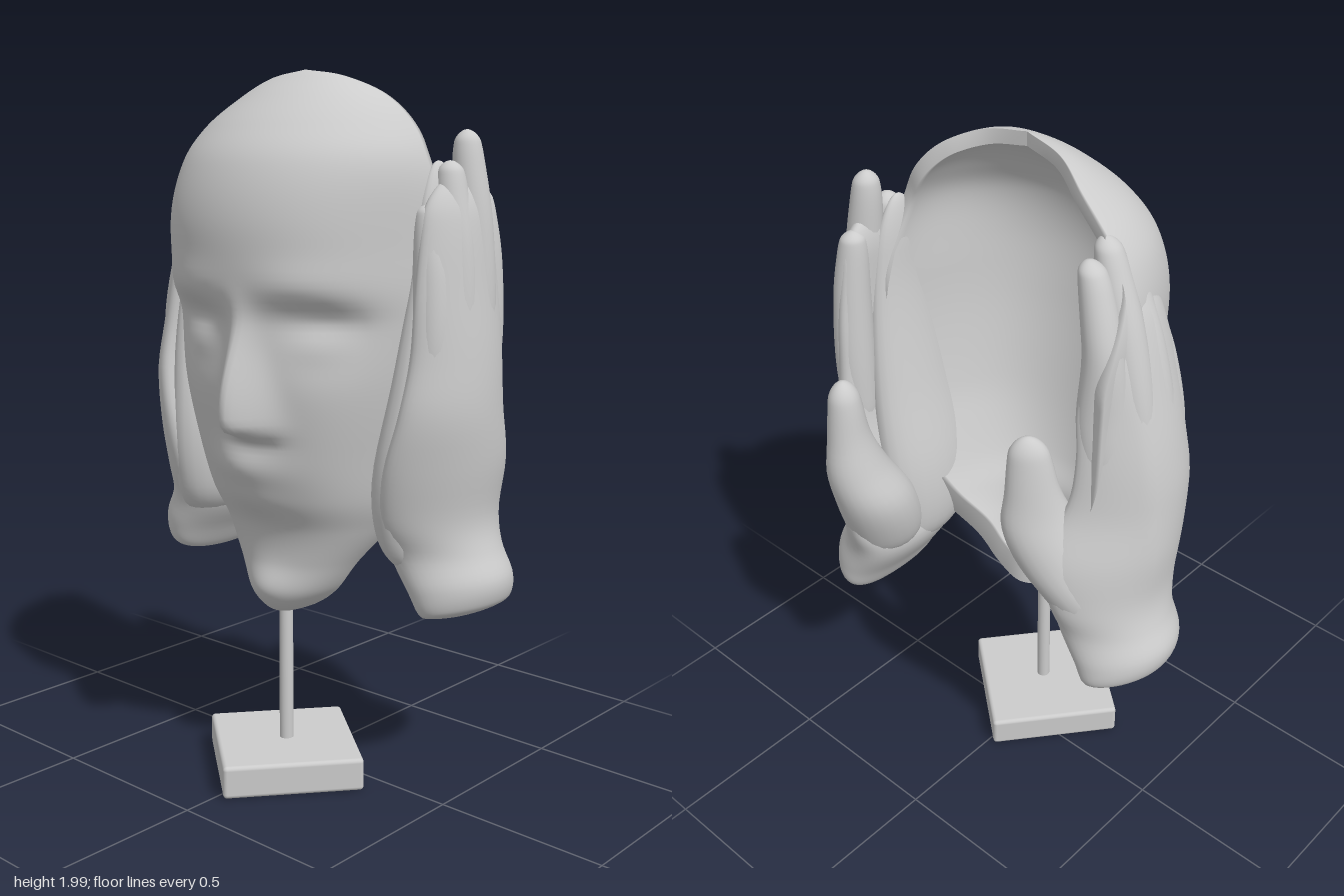
import * as THREE from 'three';
import { RoundedBoxGeometry } from 'three/addons/geometries/RoundedBoxGeometry.js';

const material = new THREE.MeshStandardMaterial({ color: 0xcccccc, side: THREE.DoubleSide });

function addMesh(parent, name, geometry) {
  const mesh = new THREE.Mesh(geometry, material);
  mesh.name = name;
  parent.add(mesh);
  return mesh;
}

// Smooth skin over a stack of closed rings; point(v, u) with v, u in 0..1
function ringSkin(rows, cols, point) {
  const pos = [], index = [];
  for (let r = 0; r <= rows; r++)
    for (let c = 0; c < cols; c++) pos.push(...point(r / rows, c / cols));
  for (let r = 0; r < rows; r++)
    for (let c = 0; c < cols; c++) {
      const d = (c + 1) % cols;
      const a = r * cols + c, b = r * cols + d, e = a + cols, f = b + cols;
      index.push(a, b, e, b, f, e);
    }
  const g = new THREE.BufferGeometry();
  g.setAttribute('position', new THREE.Float32BufferAttribute(pos, 3));
  g.setIndex(index);
  g.computeVertexNormals();
  return g;
}

// Smooth interpolation through key rows of five numbers
function keyCurve(keys) {
  const a = new THREE.CatmullRomCurve3(keys.map(k => new THREE.Vector3(k[0], k[1], k[2])), false, 'catmullrom');
  const b = new THREE.CatmullRomCurve3(keys.map(k => new THREE.Vector3(k[3], k[4], 0)), false, 'catmullrom');
  return t => {
    const p = a.getPoint(t), q = b.getPoint(t);
    return [p.x, p.y, p.z, q.x, q.y];
  };
}

const bump = (x, y, cx, cy, sx, sy) => Math.exp(-(((x - cx) / sx) ** 2) - ((y - cy) / sy) ** 2);
const step = THREE.MathUtils.smoothstep;

// Relief of the face added to the smooth mask front
function faceRelief(x, y) {
  const along = step(y, 1.01, 1.07) * (1 - step(y, 1.07, 1.46));
  const noseWidth = 0.04 + 0.022 * (1 - step(y, 1.05, 1.3));
  let z = 0.11 * along * Math.exp(-(((x - 0.075) / noseWidth) ** 2));
  // eye sockets with a sharper edge under the brow
  const underBrow = 1 - step(y, 1.34, 1.44);
  z -= 0.065 * underBrow * (bump(x, y, -0.12, 1.34, 0.13, 0.11) + bump(x, y, 0.26, 1.34, 0.11, 0.11));
  // eyelids, brows, lips, chin
  z += 0.02 * (bump(x, y, -0.12, 1.29, 0.08, 0.05) + bump(x, y, 0.25, 1.29, 0.07, 0.05));
  z += 0.01 * (bump(x, y, -0.12, 1.45, 0.14, 0.05) + bump(x, y, 0.24, 1.45, 0.12, 0.05));
  z += 0.035 * bump(x, y, 0.03, 0.94, 0.11, 0.06) + 0.02 * bump(x, y, 0.03, 0.85, 0.09, 0.05);
  z += 0.02 * bump(x, y, 0.01, 0.58, 0.08, 0.06);
  return z;
}

// Hollow mask: outer half ellipses with relief, plain inner half ellipses
function maskGeometry() {
  // left edge x, y, right edge x, front z, rim z
  const at = keyCurve([
    [0.01, 0.485, 0.01, 0.11, 0.11], [-0.06, 0.505, 0.07, 0.16, 0.05], [-0.13, 0.56, 0.14, 0.19, 0.03],
    [-0.2, 0.65, 0.2, 0.19, 0.01], [-0.27, 0.75, 0.27, 0.205, -0.02], [-0.32, 0.85, 0.32, 0.255, -0.03],
    [-0.36, 1, 0.36, 0.3, -0.04], [-0.4, 1.2, 0.4, 0.34, -0.05], [-0.41, 1.4, 0.42, 0.37, -0.05],
    [-0.41, 1.6, 0.42, 0.385, -0.05], [-0.37, 1.75, 0.4, 0.35, -0.045], [-0.31, 1.85, 0.35, 0.28, -0.045],
    [-0.2, 1.93, 0.27, 0.19, -0.015], [-0.09, 1.98, 0.16, 0.11, 0.035], [0.04, 2, 0.04, 0.06, 0.06],
  ]);
  return ringSkin(140, 150, (v, u) => {
    const [xl, y, xr, zf, ze] = at(v);
    const cx = (xl + xr) / 2, w = (xr - xl) / 2;
    const outer = u < 2 / 3;
    const a = (outer ? u * 1.5 - 0.5 : 0.5 - (u - 2 / 3) * 3) * Math.PI;
    const s = Math.sin(a), c = Math.max(0, Math.cos(a));
    // the side walls run back into the palms
    const wall = (s < 0 ? 0.13 : 0.09) * s ** 6 * step(y, 0.6, 1) * (1 - step(y, 1.5, 1.8));
    if (outer) {
      const x = cx + w * s;
      return [x, y, ze + (zf - ze) * c ** 0.93 + faceRelief(x, y) * Math.min(1, c * 1.6) - wall];
    }
    const thin = 0.78 + 0.12 * step(y, 0.7, 1.1);
    return [cx + w * thin * s, 0.58 + (y - 0.485) * 0.912, ze + (zf - ze) * 0.85 * c - wall];
  });
}

// Upright limb of horizontal ellipses: x, y, z, radius x, radius z
function limb(keys, place, side, { bend = 0, cap = 0.12, tilt = 0, rows = 40, cols = 24 } = {}) {
  const at = keyCurve(keys);
  return ringSkin(rows, cols, (v, u) => {
    const t = 0.5 - 0.5 * Math.cos(Math.PI * v);
    const [x, y, z, rx, rz] = at(t);
    const near = Math.min(1, Math.min(t, 1 - t) / cap);
    const round = Math.sqrt(Math.max(0, 1 - (1 - near) ** 2));
    const a = side * u * Math.PI * 2;
    const lx = rx * round * Math.sin(a), lz = rz * round * Math.cos(a);
    const lift = tilt * lx * (1 - step(y, 0.55, 0.75));
    return place(x + lx - bend * lz * lz, y + lift, z + lz);
  });
}

// Cupped hand with closed fingers and the thumb behind
function makeHand(name, side, indexTop, place) {
  const hand = new THREE.Group();
  hand.name = name;
  addMesh(hand, 'palmAndWrist', limb([
    [0.465, 0.515, -0.16, 0.06, 0.14], [0.47, 0.545, -0.16, 0.09, 0.175], [0.455, 0.605, -0.155, 0.112, 0.185],
    [0.405, 0.7, -0.15, 0.13, 0.19], [0.405, 0.8, -0.14, 0.11, 0.225], [0.44, 0.95, -0.13, 0.095, 0.24],
    [0.465, 1.1, -0.1, 0.08, 0.205], [0.47, 1.25, -0.1, 0.07, 0.18], [0.466, 1.42, -0.1, 0.058, 0.168],
    [0.456, 1.58, -0.1, 0.052, 0.145], [0.44, 1.73, -0.105, 0.042, 0.115],
  ], place, side, { bend: 1.1, cap: 0.08, tilt: 0.3, rows: 70, cols: 48 }));
  // base x, base z, tip x, tip z, tip y
  const fingers = [
    ['indexFinger', 0.44, -0.215, 0.435, -0.195, indexTop],
    ['middleFinger', 0.466, -0.14, 0.44, -0.13, 1.84],
    ['ringFinger', 0.466, -0.06, 0.435, -0.065, 1.76],
    ['littleFinger', 0.44, 0.01, 0.415, 0, 1.65],
  ];
  for (const [label, bx, bz, tx, tz, ty] of fingers) {
    const mid = (k) => THREE.MathUtils.lerp(1.05, ty, k);
    addMesh(hand, label, limb([
      [bx - 0.01, 1.05, bz, 0.04, 0.045], [bx + 0.004, mid(0.35), bz, 0.054, 0.058],
      [(bx + tx) / 2 + 0.01, mid(0.68), (bz + tz) / 2, 0.052, 0.054],
      [tx + 0.006, mid(0.9), tz, 0.042, 0.044], [tx, ty, tz, 0.028, 0.03],
    ], place, side));
  }
  addMesh(hand, 'thumb', limb([
    [0.38, 0.64, -0.2, 0.07, 0.09], [0.355, 0.77, -0.23, 0.105, 0.12], [0.335, 0.91, -0.28, 0.105, 0.12],
    [0.345, 1.03, -0.325, 0.08, 0.095], [0.35, 1.14, -0.342, 0.058, 0.065],
    [0.352, 1.24, -0.345, 0.047, 0.05], [0.355, 1.32, -0.345, 0.035, 0.038],
  ], place, side));
  // flesh joining the hand to the mask
  addMesh(hand, 'handEdge', limb([
    [0.37, 0.62, -0.1, 0.05, 0.1], [0.34, 0.74, -0.07, 0.085, 0.14], [0.345, 0.93, -0.06, 0.09, 0.16],
    [0.385, 1.2, -0.06, 0.07, 0.14], [0.41, 1.5, -0.06, 0.045, 0.1], [0.405, 1.76, -0.055, 0.03, 0.06],
  ], place, side));
  return hand;
}

export function createModel() {
  const model = new THREE.Group();
  model.name = 'maskWithHands';

  addMesh(model, 'faceMask', maskGeometry());
  model.add(makeHand('leftHand', 1, 1.69, (x, y, z) => [x, y, z]));
  // the right hand sits further forward, leans in at the top and folds its thumb in
  model.add(makeHand('rightHand', -1, 1.8, (x, y, z) => {
    const lean = 0.03 * step(y, 0.75, 1.1) + 0.12 * Math.max(0, (y - 0.95) / 0.85) ** 1.6
      + 0.4 * Math.max(0, -0.17 - z) * step(y, 0.7, 1.1) * (1 - step(y, 1.35, 1.6)) - 0.012;
    return [-(x - lean), 0.57 + (y - 0.5) * 0.965, z + 0.1];
  }));

  // Stand
  const rod = addMesh(model, 'standRod', new THREE.CylinderGeometry(0.02, 0.02, 0.46, 24));
  rod.position.set(0.01, 0.3, 0.11);
  const base = addMesh(model, 'standBase', new RoundedBoxGeometry(0.4, 0.095, 0.4, 3, 0.012));
  base.position.set(0.003, 0.053, 0.11);
  base.rotation.y = Math.PI / 4 + 0.1;
  return model;
}
